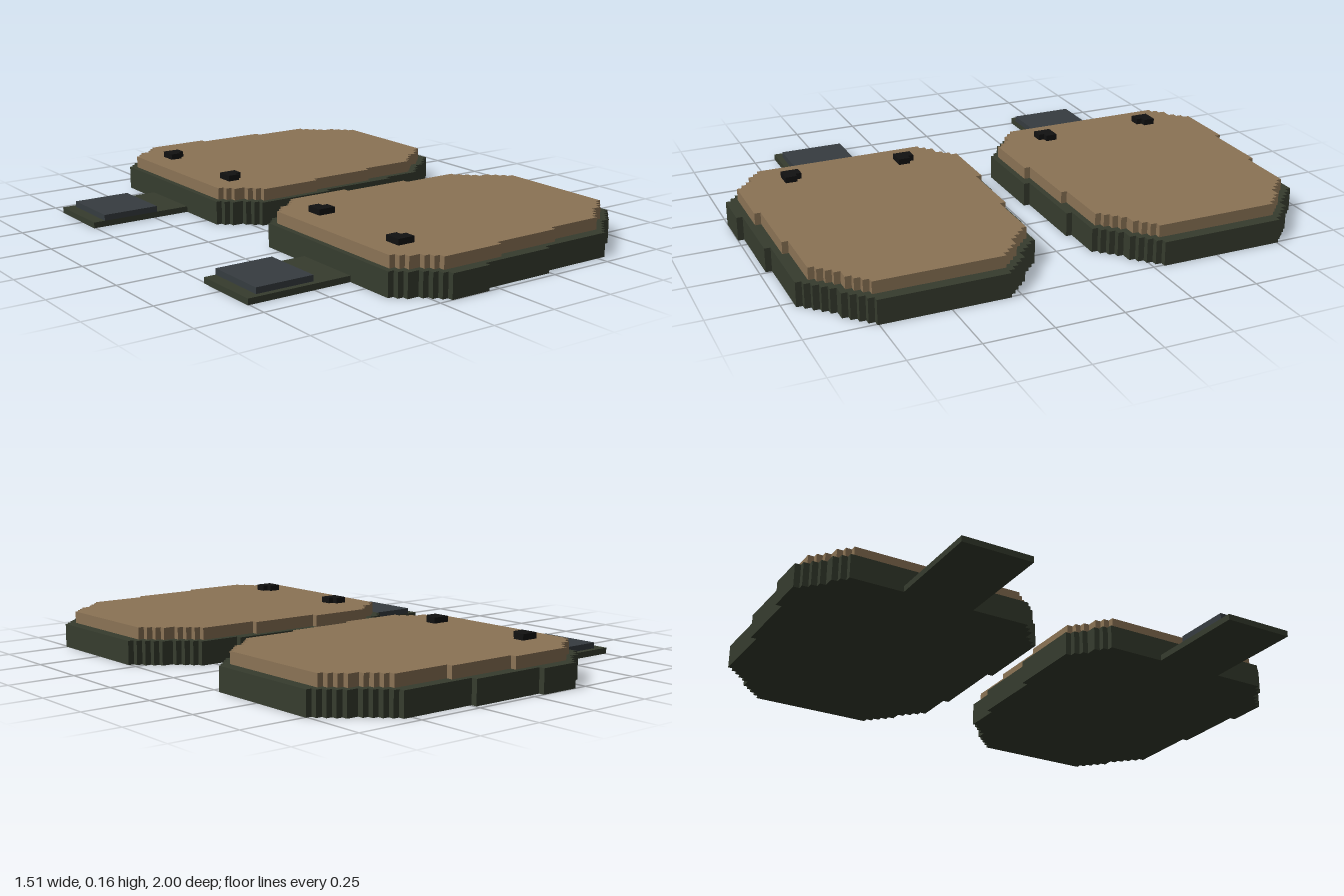
import * as THREE from 'three';

const U = 2 / 90; // one block

const mat = (name, color) => {
  const m = new THREE.MeshStandardMaterial({ color });
  m.name = name;
  return m;
};

// Turns a list of corners into a blocky outline; slanted runs become stairs.
function blockOutline(corners) {
  const out = [];
  corners.forEach(([x0, z0], i) => {
    const [x1, z1] = corners[(i + 1) % corners.length];
    const dx = x1 - x0, dz = z1 - z0;
    out.push([x0, z0]);
    if (!dx || !dz) return;
    const n = Math.min(Math.abs(dx), Math.abs(dz));
    for (let k = 1; k <= n; k++) {
      const x = x0 + Math.round((dx * k) / n), z = z0 + Math.round((dz * k) / n);
      const [px, pz] = out[out.length - 1];
      // alternate the two directions so each stair steps inward
      out.push(dx * dz > 0 ? [px, z] : [x, pz]);
      if (k < n) out.push([x, z]);
    }
  });
  return out;
}

// Flat slab between two block heights; side = 1 or -1 mirrors it across z.
function slab(name, outline, y0, y1, side, material) {
  const shape = new THREE.Shape(outline.map(([x, z]) => new THREE.Vector2(x * U, -side * z * U)));
  const geo = new THREE.ExtrudeGeometry(shape, { depth: (y1 - y0) * U, bevelEnabled: false });
  geo.rotateX(-Math.PI / 2);
  geo.translate(0, y0 * U, 0);
  const mesh = new THREE.Mesh(geo, material);
  mesh.name = name;
  return mesh;
}

const rect = (x0, x1, z0, z1) => [[x0, z0], [x1, z0], [x1, z1], [x0, z1]];

export function createModel() {
  const green = mat('dark green', 0x363c2e);
  const tan = mat('tan', 0x8b7355);
  const slate = mat('slate', 0x363c40);
  const black = mat('black', 0x111111);

  // corners in blocks, walking round from the inner left
  const base = blockOutline([
    [-16, 8], [-10, 3], [4, 3], [4, 4], [18, 4], [18, 5], [25, 5], [34, 13],
    [34, 34], [24, 43], [11, 43], [11, 44], [-2, 44], [-2, 45], [-9, 45], [-16, 39],
  ]);
  const cover = blockOutline([
    [-15, 9], [-9, 4], [2, 4], [2, 5], [14, 5], [14, 6], [24, 6], [32, 13],
    [32, 34], [24, 41], [14, 41], [14, 42], [2, 42], [2, 43], [-9, 43], [-15, 38],
  ]);

  const model = new THREE.Group();
  model.name = 'pairOfPads';
  for (const side of [1, -1]) {
    const pad = new THREE.Group();
    pad.name = side > 0 ? 'frontPad' : 'backPad';
    pad.add(slab('base', base, 0, 4, side, green));
    pad.add(slab('cover', cover, 4, 6, side, tan));
    // strap with a raised patch
    pad.add(slab('strap', rect(-34, -16, 18, 30), 0, 1, side, green));
    pad.add(slab('strapPatch', rect(-32, -22, 18, 29), 1, 2, side, slate));
    // studs with one corner block missing
    for (const z of [12, 32]) {
      const stud = [[-11, z], [-9, z], [-9, z + 1], [-8, z + 1], [-8, z + 3], [-11, z + 3]];
      pad.add(slab('stud', stud, 6, 7, side, black));
    }
    model.add(pad);
  }
  return model;
}
